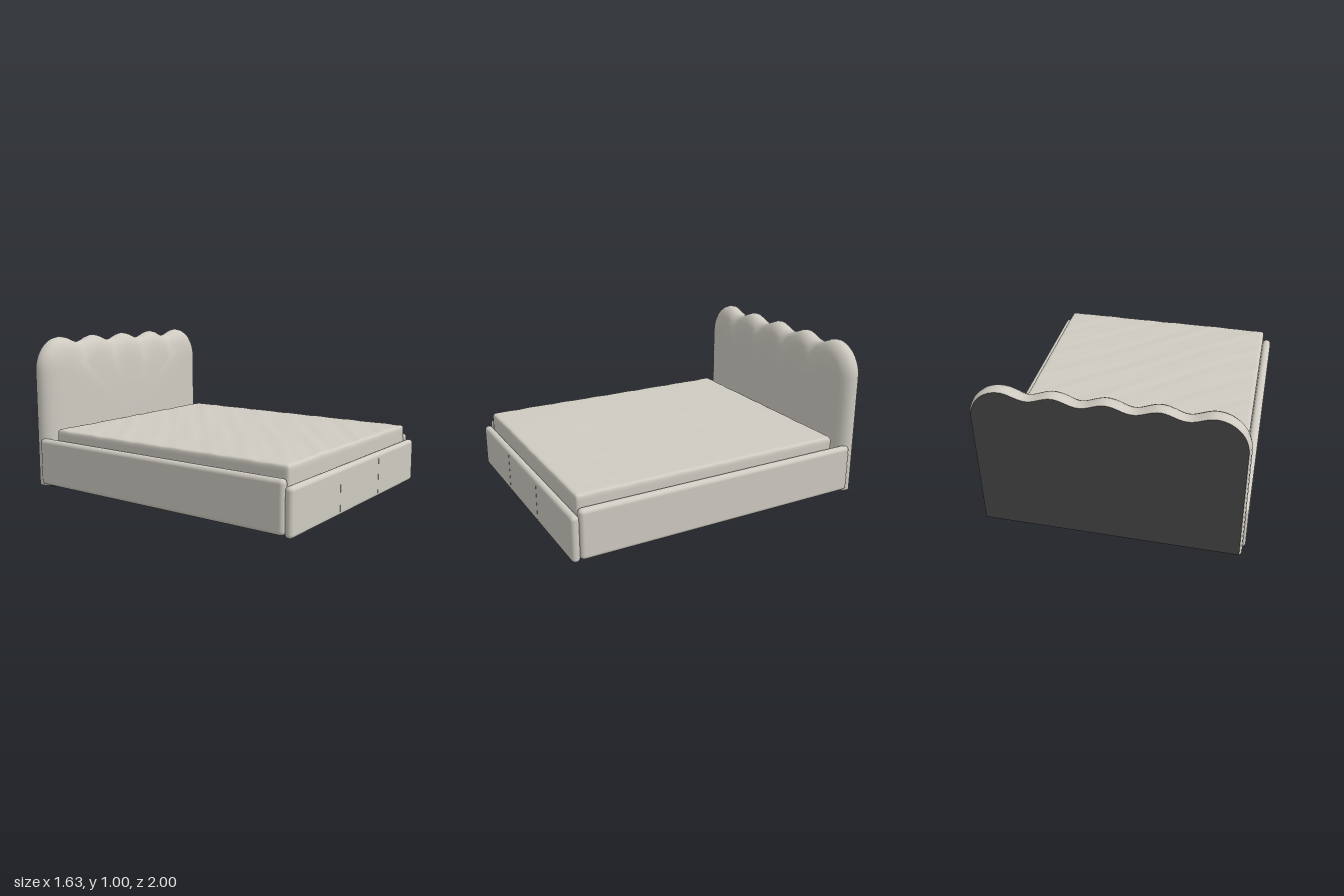
import * as THREE from 'three';
import { mergeVertices } from 'three/addons/utils/BufferGeometryUtils.js';
import { RoundedBoxGeometry } from 'three/addons/geometries/RoundedBoxGeometry.js';

const mat = (name, color) => Object.assign(new THREE.MeshStandardMaterial({ color }), { name });

// Scalloped headboard outline, bottom -x corner over the top to bottom +x corner.
// Returns [x, y, valley], where valley is 1 in the dips between scallops.
function headboardOutline(inset) {
  const pts = [], r = 0.2 - inset, cx = 0.6, cy = 0.775;
  const amp = 0.02 * (1 - inset / 0.25);
  const sides = 6, corner = 14, top = 80;
  for (let i = 0; i < sides; i++) pts.push([-cx - r, 0.005 + (cy - 0.005) * i / sides, 0]);
  for (let i = 0; i < corner; i++) {
    const a = Math.PI / 2 * i / corner;
    pts.push([-cx - r * Math.cos(a), cy + (r + amp) * Math.sin(a), 0]);
  }
  for (let i = 0; i <= top; i++) {
    const x = -cx + 2 * cx * i / top, c = Math.cos(2 * Math.PI * x / 0.3);
    pts.push([x, cy + r + amp * c, Math.max(0, -c) ** 2]);
  }
  const mirrored = pts.slice(0, sides + corner).reverse().map(([x, y, v]) => [-x, y, v]);
  return pts.concat(mirrored);
}

// Padded headboard: rings of the outline from the back edge to the front face
function headboardGeometry() {
  const rings = [ // inset, z, dimple depth, scale toward the middle
    [0.015, -1, 0, 1], [0.004, -0.985, 0, 1], [0, -0.965, 0, 1], [0.004, -0.94, 0.002, 1],
    [0.016, -0.918, 0.006, 1], [0.04, -0.897, 0.012, 1], [0.07, -0.884, 0.014, 1],
    [0.11, -0.875, 0.01, 1], [0.16, -0.869, 0.005, 1], [0.16, -0.864, 0, 0.8],
    [0.16, -0.861, 0, 0.5],
  ];
  const midY = 0.4, pos = [], idx = [];
  let n = 0;
  for (const [inset, z, dimple, s] of rings) {
    const line = headboardOutline(inset);
    n = line.length;
    for (const [x, y, v] of line) {
      const low = y < 0.01 ? y : midY + (y - midY) * s;
      pos.push(x * s, low, z - dimple * v);
    }
  }
  for (let k = 0; k < rings.length - 1; k++) {
    for (let i = 0; i < n - 1; i++) {
      const a = k * n + i, b = a + 1, c = b + n, d = a + n;
      idx.push(a, d, b, b, d, c);
    }
  }
  const last = (rings.length - 1) * n, centre = pos.length / 3;
  pos.push(0, midY, -0.86);
  for (let i = 0; i < n; i++) idx.push(centre, last + (i + 1) % n, last + i);
  const g = new THREE.BufferGeometry();
  g.setAttribute('position', new THREE.Float32BufferAttribute(pos, 3));
  g.setIndex(idx);
  g.computeVertexNormals();
  return g;
}

// Soft box with rounded edges and faint diagonal creases on its top
function mattressGeometry(w, h, d, r) {
  let g = new THREE.BoxGeometry(2, 2, 2, 60, 10, 70);
  g.deleteAttribute('uv');
  g.deleteAttribute('normal');
  g = mergeVertices(g);
  const p = g.attributes.position, half = new THREE.Vector3(w / 2, h / 2, d / 2);
  const inner = half.clone().subScalar(r), v = new THREE.Vector3(), core = new THREE.Vector3();
  const dense = (c) => Math.sign(c) * (1 - (1 - Math.abs(c)) ** 1.5);
  for (let i = 0; i < p.count; i++) {
    v.fromBufferAttribute(p, i);
    v.set(dense(v.x), dense(v.y), dense(v.z)).multiply(half);
    core.copy(v).clamp(inner.clone().negate(), inner);
    const off = v.clone().sub(core);
    if (off.lengthSq() > 0) v.copy(core).addScaledVector(off.normalize(), r);
    if (v.y > 0) {
      const q = v.x * 0.7 + v.z, fade = v.y / half.y;
      v.y += fade * (0.0012 * Math.sin(q * 26 + 2 * Math.sin(v.x * 4)) + 0.0008 * Math.sin(q * 47 + v.x * 5));
      v.y += fade * 0.008 * Math.exp(-((v.x + 0.4) ** 2 + (v.z - 0.55) ** 2) / 0.12);
    }
    p.setXYZ(i, v.x, v.y, v.z);
  }
  g.computeVertexNormals();
  return g;
}

export function createModel() {
  const fabric = mat('fabric', 0xcfcbc2), backing = mat('dark backing', 0x444444);
  const wood = mat('wood', 0xa07d58), metal = mat('metal', 0xd8d8d8), rubber = mat('rubber', 0x222222);
  const bed = new THREE.Group();
  bed.name = 'bed';
  const add = (name, geometry, material, x = 0, y = 0, z = 0, parent = bed) => {
    const m = new THREE.Mesh(geometry, material);
    m.name = name;
    m.position.set(x, y, z);
    parent.add(m);
    return m;
  };
  // Box given by its limits, rounded when r is set
  const block = (name, material, [x0, x1], [y0, y1], [z0, z1], r = 0, parent = bed) => {
    const s = [x1 - x0, y1 - y0, z1 - z0];
    const g = r ? new RoundedBoxGeometry(...s, 5, r) : new THREE.BoxGeometry(...s);
    return add(name, g, material, (x0 + x1) / 2, (y0 + y1) / 2, (z0 + z1) / 2, parent);
  };

  // Headboard with its flat dark back and underside
  add('headboard', headboardGeometry(), fabric);
  const backShape = new THREE.Shape(headboardOutline(0.015).map(([x, y]) => new THREE.Vector2(x, y)));
  add('headboardBack', new THREE.ExtrudeGeometry(backShape, { depth: 0.006, bevelEnabled: false }), backing, 0, 0, -1);
  block('headboardUnderside', backing, [-0.77, 0.77], [0.001, 0.007], [-0.995, -0.865]);

  // Upholstered side rails and footboard
  for (const s of [-1, 1]) {
    const x = [0.757 * s, 0.815 * s].sort((a, b) => a - b);
    block('sideRail', fabric, x, [0.015, 0.325], [-0.955, 0.952], 0.027);
  }
  block('footboard', fabric, [-0.805, 0.805], [0.005, 0.29], [0.947, 1], 0.025);
  for (const x of [-0.26, 0.25]) {
    block('footboardSeam', fabric, [x - 0.002, x + 0.002], [0.03, 0.265], [0.998, 1.0012]);
  }

  // Mattress
  add('mattress', mattressGeometry(1.515, 0.157, 1.795, 0.022), fabric, 0, 0.3135, 0.0525);

  // Slatted base: ledges, centre beam and two rows of slats
  const base = new THREE.Group();
  base.name = 'slattedBase';
  bed.add(base);
  block('centreBeam', wood, [-0.035, 0.035], [0.15, 0.215], [-0.86, 0.94], 0, base);
  for (const s of [-1, 1]) {
    const span = (a, b) => [a * s, b * s].sort((p, q) => p - q);
    block('ledge', wood, span(0.7, 0.758), [0.18, 0.215], [-0.84, 0.94], 0, base);
    block('headBracket', wood, span(0.56, 0.67), [0.16, 0.23], [-0.87, -0.8], 0, base);
    for (let i = 0; i < 14; i++) {
      const z = -0.79 + i * 0.127;
      block('slat', wood, span(0.02, 0.745), [0.215, 0.234], [z - 0.045, z + 0.045], 0, base);
    }
  }

  // Centre support leg
  add('supportLeg', new THREE.CylinderGeometry(0.013, 0.013, 0.14, 20), metal, 0, 0.085, 0.13);
  add('supportFoot', new THREE.CylinderGeometry(0.018, 0.018, 0.016, 20), rubber, 0, 0.008, 0.13);
  return bed;
}
